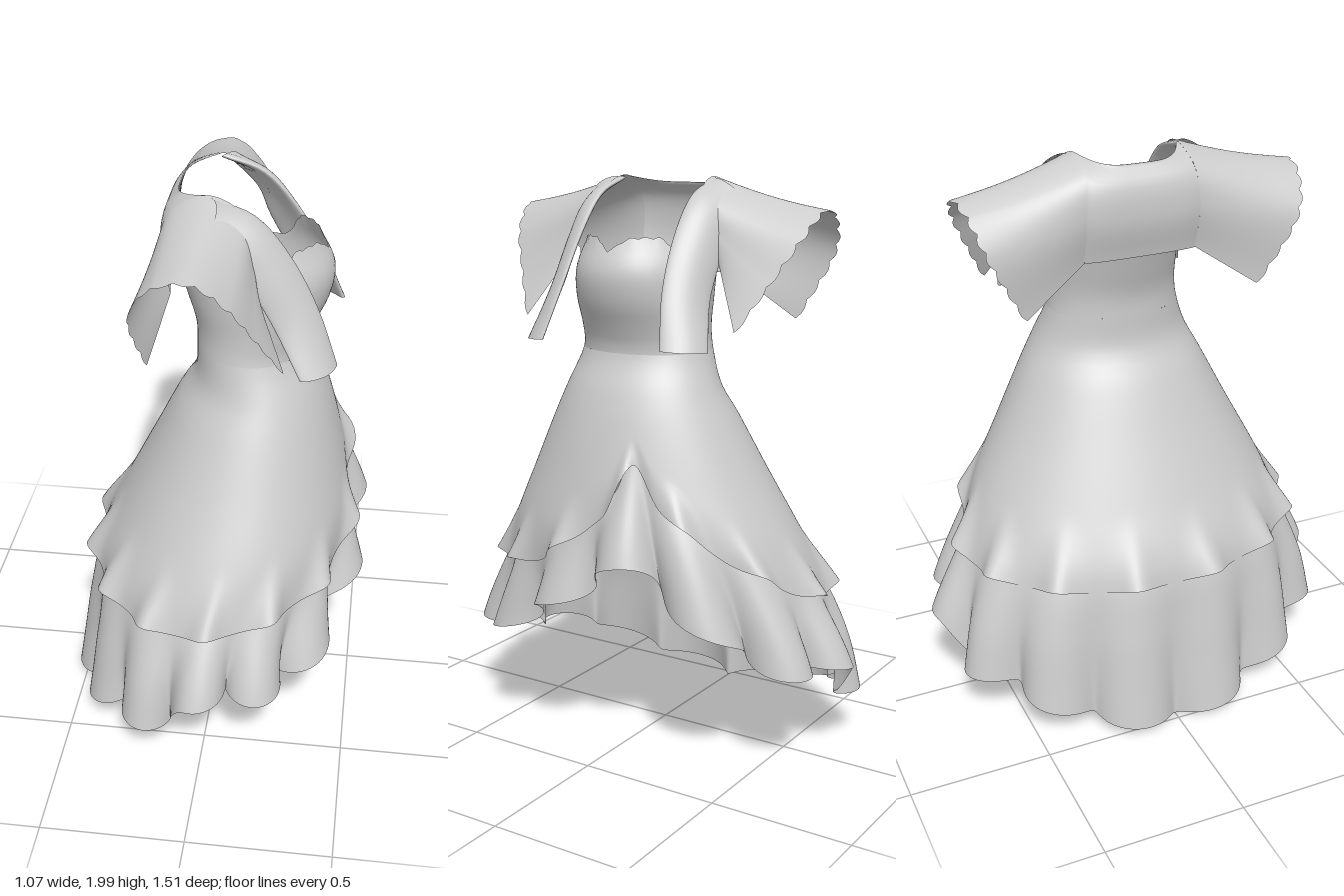
import * as THREE from 'three';

const cloth = new THREE.MeshStandardMaterial({ color: 0xcccccc, side: THREE.DoubleSide });
cloth.name = 'plain cloth';

// smooth interpolation through rows of [key, value, value, ...] with rising keys
function sample(rows, k) {
  const n = rows.length;
  k = Math.min(Math.max(k, rows[0][0]), rows[n - 1][0]);
  let i = 0;
  while (i < n - 2 && k > rows[i + 1][0]) i++;
  const a = rows[Math.max(i - 1, 0)], b = rows[i], c = rows[i + 1], d = rows[Math.min(i + 2, n - 1)];
  const h = c[0] - b[0], t = (k - b[0]) / h;
  return b.slice(1).map((bv, j) => {
    const cv = c[j + 1];
    const m0 = (cv - a[j + 1]) / (c[0] - a[0]) * h, m1 = (d[j + 1] - bv) / (d[0] - b[0]) * h;
    const t2 = t * t, t3 = t2 * t;
    return (2 * t3 - 3 * t2 + 1) * bv + (t3 - 2 * t2 + t) * m0 + (3 * t2 - 2 * t3) * cv + (t3 - t2) * m1;
  });
}

// sheet of cloth from a point rule p(u, v), optionally closed around u
function sheet(name, p, nu, nv, closed = false) {
  const cols = closed ? nu : nu + 1, pos = [], idx = [];
  for (let j = 0; j <= nv; j++)
    for (let i = 0; i < cols; i++) pos.push(...p(i / nu, j / nv));
  for (let j = 0; j < nv; j++)
    for (let i = 0; i < nu; i++) {
      const a = j * cols + i, b = j * cols + (i + 1) % cols;
      idx.push(a, b, a + cols, b, b + cols, a + cols);
    }
  const g = new THREE.BufferGeometry();
  g.setAttribute('position', new THREE.Float32BufferAttribute(pos, 3));
  g.setIndex(idx);
  g.computeVertexNormals();
  const m = new THREE.Mesh(g, cloth);
  m.name = name;
  return m;
}

// dress cross-sections: height, centre x, radius x, radius z (the wearer faces +x)
const SECTIONS = [
  [0, -0.01, 0.5, 0.72], [0.2, -0.005, 0.49, 0.71], [0.4, 0, 0.48, 0.69], [0.6, 0.02, 0.47, 0.625],
  [0.8, 0.065, 0.415, 0.535], [1.0, 0.095, 0.345, 0.432], [1.2, 0.12, 0.27, 0.332], [1.3, 0.133, 0.222, 0.28],
  [1.42, 0.11, 0.19, 0.235], [1.5, 0.118, 0.203, 0.228], [1.6, 0.125, 0.24, 0.232],
  [1.7, 0.115, 0.262, 0.228], [1.8, 0.08, 0.25, 0.205],
];
// hem heights by angle in degrees, 0 at the front, 90 toward +z
const UPPER_HEM = [
  [-180, 0.57], [-120, 0.58], [-90, 0.6], [-65, 0.7], [-45, 0.83], [-30, 0.94], [-20, 1.08], [-10, 0.94],
  [0, 0.87], [15, 0.75], [35, 0.67], [60, 0.63], [90, 0.59], [130, 0.575], [180, 0.57],
];
const LOWER_HEM = [
  [-180, 0.005], [-164, 0.04], [-146, 0.1], [-124, 0.195], [-100, 0.22], [-92, 0.35], [-60, 0.38], [-45, 0.48],
  [-30, 0.6], [-15, 0.75], [0, 0.64], [15, 0.56], [30, 0.45], [45, 0.37], [60, 0.35], [92, 0.35], [100, 0.22],
  [124, 0.195], [146, 0.1], [164, 0.04], [180, 0.005],
];
const FOLDS = 14;
const onDress = (a, y, out) => {
  const [c, rx, rz] = sample(SECTIONS, y);
  return [c + (rx + out) * Math.cos(a), y, (rz + out) * Math.sin(a)];
};
const angle = u => u * 2 * Math.PI - Math.PI;
const deg = a => a * 180 / Math.PI;

function dressParts() {
  // bodice: sweetheart neckline with small scallops over the bust
  const bodice = sheet('bodice', (u, v) => {
    const a = angle(u), front = THREE.MathUtils.smoothstep(Math.cos(a), 0.25, 0.75);
    const top = 1.7 + front * (0.1 - 0.04 * Math.exp(-((a / 0.2) ** 2)) + 0.008 * Math.abs(Math.sin(a * 14)));
    return onDress(a, THREE.MathUtils.lerp(top, 1.42, v), 0);
  }, 120, 14, true);

  // overskirt: smooth until the narrow pleats close to its lifted hem
  const overskirt = sheet('overskirt', (u, v) => {
    const a = angle(u), phase = a * FOLDS + Math.PI;
    const wave = Math.cos(phase + 0.4 * Math.sin(phase));
    const hem = sample(UPPER_HEM, deg(a))[0] + 0.012 * wave;
    const flare = Math.max(0, (v - 0.75) / 0.25) ** 1.5;
    return onDress(a, THREE.MathUtils.lerp(1.42, hem, v), flare * (0.014 + 0.028 * wave));
  }, 300, 26, true);

  // ruffle: deep rounded folds, shallower on the long train, raised in front
  const ruffle = sheet('hemRuffle', (u, v) => {
    const a = angle(u), phase = a * FOLDS + Math.PI;
    const back = THREE.MathUtils.smoothstep(-Math.cos(a), 0.1, 0.7);
    const swell = v * (1 - 0.3 * back);
    const top = sample(UPPER_HEM, deg(a))[0] + 0.04;
    const hem = sample(LOWER_HEM, deg(a))[0];
    const out = -0.014 + v * 0.014 + 0.055 * swell * Math.cos(phase);
    return onDress(a + swell * 0.85 / FOLDS * Math.sin(phase), THREE.MathUtils.lerp(top, hem, v), out);
  }, 392, 14, true);
  return [bodice, overskirt, ruffle];
}

// shoulder arc from back to front: key, inner x, y, z, outer x, y, z
const CAP = [
  [0, -0.14, 1.66, 0.2, -0.185, 1.51, 0.42], [0.25, -0.17, 1.82, 0.2, -0.215, 1.74, 0.545],
  [0.42, -0.14, 1.94, 0.19, -0.14, 1.86, 0.585], [0.55, -0.02, 1.995, 0.18, -0.02, 1.89, 0.6],
  [0.7, 0.1, 1.94, 0.2, 0.09, 1.8, 0.57], [0.85, 0.13, 1.84, 0.25, 0.17, 1.66, 0.5],
  [1, 0.14, 1.74, 0.29, 0.25, 1.51, 0.42],
];
// lapel edges from shoulder to tip: key, inner x, y, z, outer x, y, z
const LAPEL = [
  [0, -0.02, 1.985, 0.18, 0.0, 1.93, 0.31], [0.25, 0.125, 1.935, 0.18, 0.09, 1.84, 0.3],
  [0.5, 0.24, 1.81, 0.185, 0.135, 1.735, 0.3], [0.75, 0.335, 1.64, 0.2, 0.21, 1.6, 0.305],
  [1, 0.405, 1.46, 0.235, 0.295, 1.45, 0.35],
];

function shrugSide(s) {
  // flared half sleeve with a scalloped edge
  const cap = sheet('flaredSleeve', (u, v) => {
    const [ax, ay, az, bx, by, bz] = sample(CAP, u);
    const k = v * (1 + 0.035 * (Math.abs(Math.sin(u * Math.PI * 14)) - 0.6) * v * v);
    const dip = 0.01 * Math.sin(Math.PI * v) * Math.sin(Math.PI * u);
    return [ax + (bx - ax) * k, ay + (by - ay) * k - dip, s * (az + (bz - az) * k)];
  }, 112, 12);

  // broad flat lapel, turned diagonally outward, with a slightly domed face
  const lapel = sheet('frontLapel', (u, v) => {
    const [ax, ay, az, bx, by, bz] = sample(LAPEL, v), a = u * 2 * Math.PI;
    const k = 0.5 - 0.5 * Math.cos(a);
    const n = new THREE.Vector3(bz - az, 0.12 * (1 - v), ax - bx).normalize();
    const off = Math.sin(a) * 0.018 + 0.016 * Math.sin(Math.PI * k);
    return [ax + (bx - ax) * k + n.x * off, ay + (by - ay) * k + n.y * off, s * (az + (bz - az) * k + n.z * off)];
  }, 28, 20, true);
  return [cap, lapel];
}

export function createModel() {
  const group = new THREE.Group();
  group.name = 'ruffledDress';
  group.add(...dressParts());

  const shrug = new THREE.Group();
  shrug.name = 'shrug';
  // back panel joins the inner edges of both sleeves and rises to the collar
  shrug.add(sheet('shrugBack', (u, v) => {
    const w = u * 2 - 1, [x, y, z] = sample(CAP, v * 0.55), mid = 1 - w ** 4;
    return [x - mid * (0.012 + 0.1 * v ** 7), y - 0.025 * mid * v, w * z];
  }, 24, 20));
  for (const s of [1, -1]) shrug.add(...shrugSide(s));
  group.add(shrug);
  return group;
}
